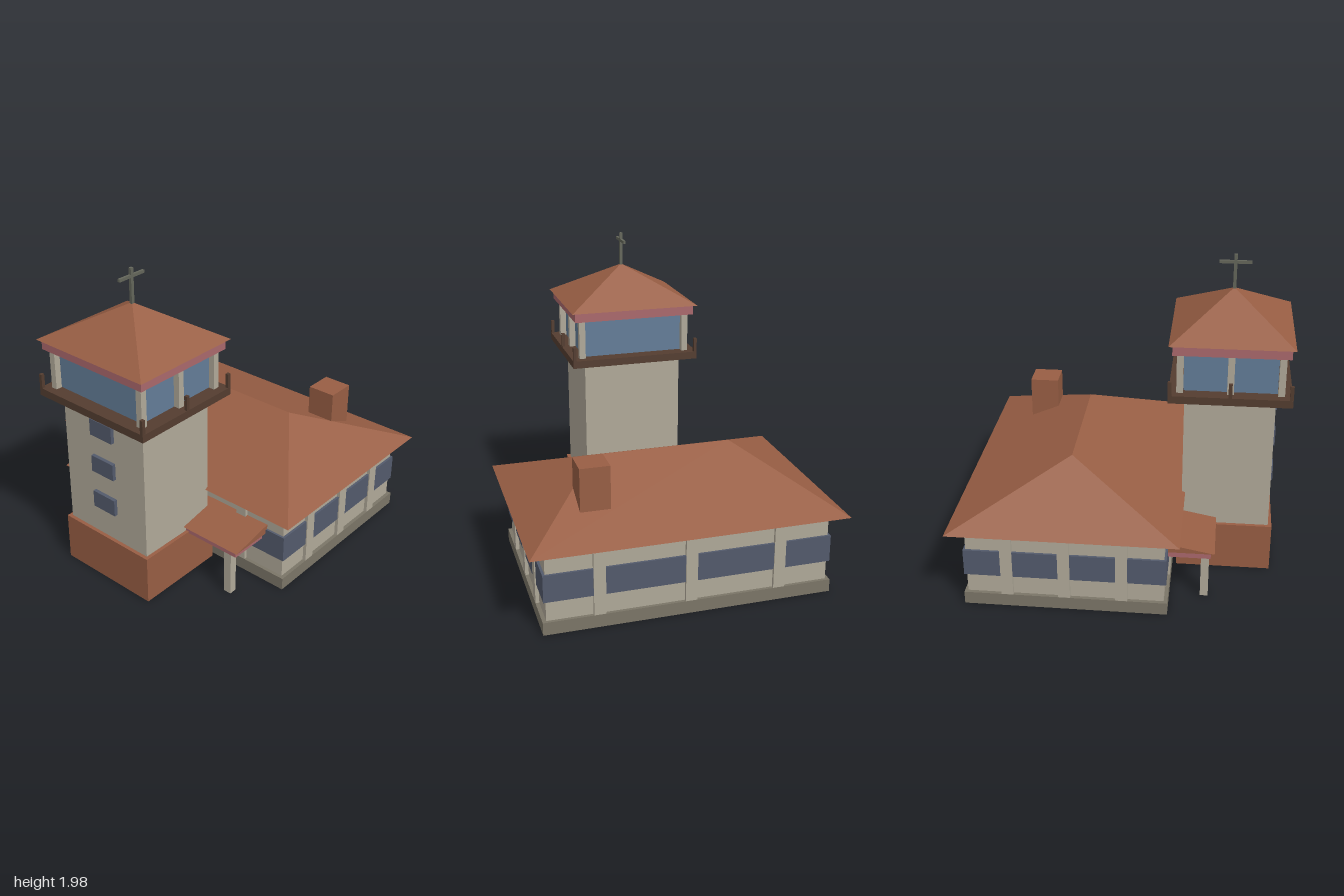
import * as THREE from 'three';
import { ConvexGeometry } from 'three/addons/geometries/ConvexGeometry.js';

function material(name, color) {
  const m = new THREE.MeshStandardMaterial({ color });
  m.name = name;
  return m;
}

export function createModel() {
  const root = new THREE.Group();
  root.name = 'stationWithLookoutTower';

  const wall = material('stone wall', 0xb0a999);
  const footing = material('dark stone', 0x7b7567);
  const terracotta = material('terracotta', 0x985e44);
  const windowGlass = material('dark window', 0x535a6c);
  const lookoutGlass = material('blue glass', 0x637d98);
  const trim = material('rose trim', 0xaa686c);
  const timber = material('dark timber', 0x543d30);
  const metal = material('grey metal', 0x64665a);

  const section = (name) => {
    const g = new THREE.Group();
    g.name = name;
    root.add(g);
    return g;
  };

  // Box given by its extents on each axis
  const box = (parent, name, mat, [x0, x1], [y0, y1], [z0, z1]) => {
    const mesh = new THREE.Mesh(new THREE.BoxGeometry(x1 - x0, y1 - y0, z1 - z0), mat);
    mesh.position.set((x0 + x1) / 2, (y0 + y1) / 2, (z0 + z1) / 2);
    mesh.name = name;
    parent.add(mesh);
  };
  const around = (c, half) => [c - half, c + half];

  // Solid flat-faced roof from its corner points
  const roof = (parent, name, points) => {
    const geo = new ConvexGeometry(points.map((p) => new THREE.Vector3(...p)));
    const mesh = new THREE.Mesh(geo, terracotta);
    mesh.name = name;
    parent.add(mesh);
  };
  const rectangle = (x, y, z0, z1) => [[-x, y, z0], [x, y, z0], [x, y, z1], [-x, y, z1]];

  // Main hall
  const hall = section('hall');
  box(hall, 'hallFooting', footing, [-0.885, 0.885], [0, 0.08], [-0.92, 0.31]);
  box(hall, 'hallWalls', wall, [-0.862, 0.862], [0.08, 0.52], [-0.9, 0.288]);
  box(hall, 'hallWindowBand', windowGlass, [-0.877, 0.877], [0.205, 0.375], [-0.914, 0.302]);
  for (const x of [-0.55, 0, 0.55]) {
    box(hall, 'frontPilaster', wall, around(x, 0.036), [0.075, 0.52], [0.27, 0.309]);
    box(hall, 'backPilaster', wall, around(x, 0.036), [0.075, 0.52], [-0.919, -0.88]);
  }
  for (const z of [-0.655, -0.31, 0.035]) {
    for (const s of [-1, 1]) {
      box(hall, 'sidePilaster', wall, around(s * 0.867, 0.017), [0.075, 0.52], around(z, 0.036));
    }
  }
  roof(hall, 'hallRoof', [
    ...rectangle(0.96, 0.52, -1, 0.38), [-0.435, 0.812, -0.31], [0.435, 0.812, -0.31],
  ]);
  box(hall, 'chimney', terracotta, [0.43, 0.612], [0.54, 0.907], [-0.72, -0.535]);

  // Porch canopy running behind the tower foot
  const porch = section('porch');
  roof(porch, 'porchRoof', [-0.74, 0.74].flatMap((x) => [
    [x, 0.348, 0.58], [x, 0.348, 0.28], [x, 0.406, 0.28],
  ]));
  box(porch, 'porchFascia', trim, [-0.715, 0.715], [0.3, 0.348], [0.295, 0.557]);
  for (const s of [-1, 1]) {
    box(porch, 'porchPost', wall, around(s * 0.645, 0.026), [0, 0.3], [0.498, 0.547]);
  }

  // Tower shaft
  const tower = section('tower');
  const cz = 0.632;
  box(tower, 'towerFoot', terracotta, [-0.345, 0.345], [0, 0.312], [0.335, 0.928]);
  box(tower, 'towerShaft', wall, [-0.322, 0.322], [0.312, 1.178], around(cz, 0.273));
  for (const y of [0.558, 0.808, 1.058]) {
    box(tower, 'towerWindow', windowGlass, around(0, 0.088), around(y, 0.054), [0.895, 0.928]);
  }

  // Balcony with short railing posts
  box(tower, 'balcony', timber, [-0.418, 0.418], [1.178, 1.226], around(cz, 0.368));
  for (const s of [-1, 1]) {
    for (const z of [cz - 0.357, cz, cz + 0.357]) {
      box(tower, 'railingPost', timber, around(s * 0.407, 0.01), [1.2, 1.315], around(z, 0.011));
    }
  }

  // Glazed lookout room
  box(tower, 'lookoutGlass', lookoutGlass, [-0.327, 0.327], [1.226, 1.475], around(cz, 0.279));
  for (const s of [-1, 1]) {
    for (const z of [cz - 0.3, cz, cz + 0.3]) {
      box(tower, 'lookoutPost', wall, around(s * 0.346, 0.02), [1.226, 1.475], around(z, 0.02));
    }
  }
  box(tower, 'lookoutFascia', trim, [-0.396, 0.396], [1.475, 1.537], around(cz, 0.346));
  roof(tower, 'towerRoof', [...rectangle(0.418, 1.537, cz - 0.368, cz + 0.368), [0, 1.768, cz]]);

  // Rooftop mast with crossbar
  box(tower, 'mast', metal, around(0, 0.009), [1.75, 1.975], around(cz, 0.01));
  box(tower, 'mastCrossbar', metal, around(0, 0.008), [1.917, 1.935], around(cz, 0.097));

  return root;
}
